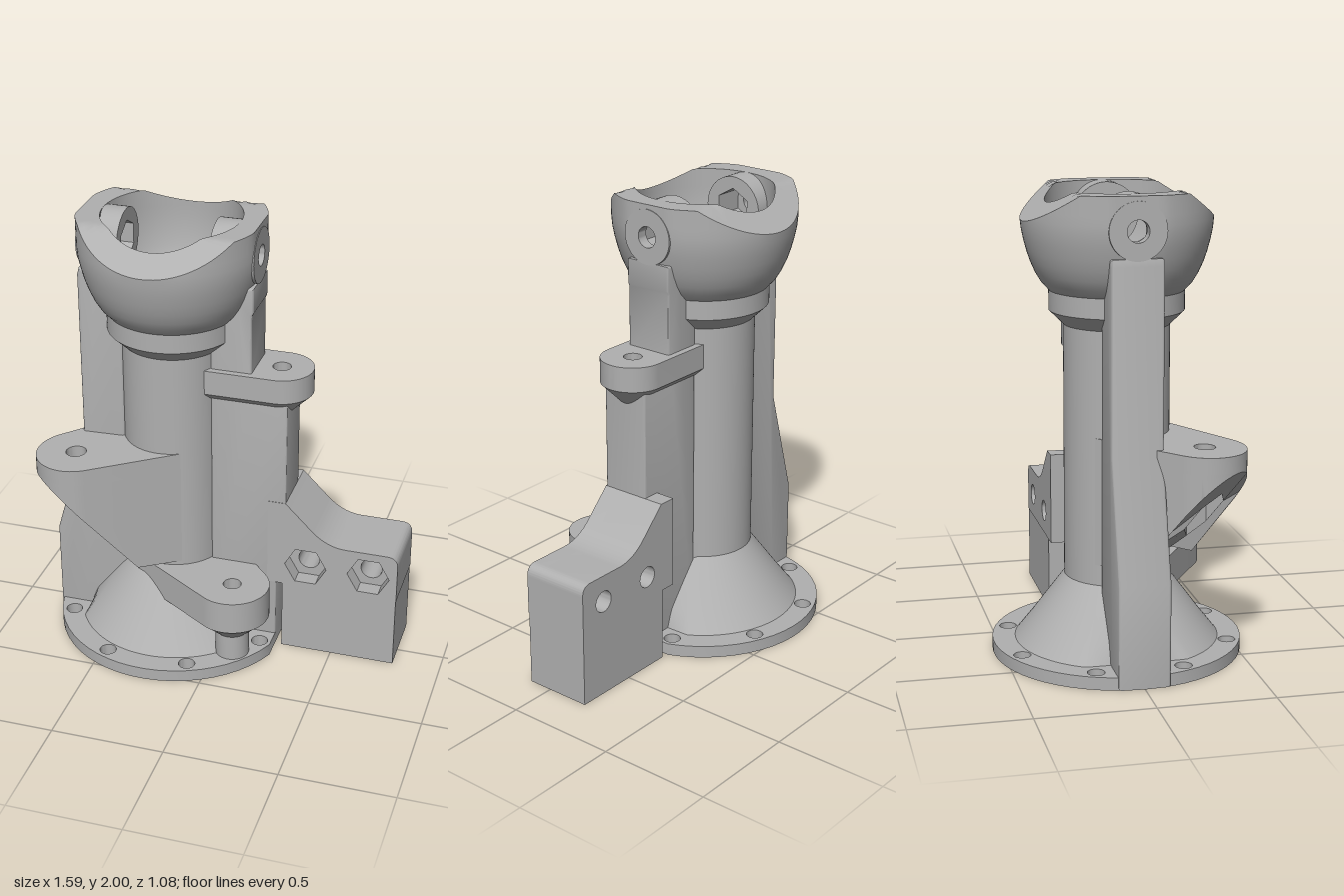
import * as THREE from 'three';
import { toCreasedNormals } from 'three/addons/utils/BufferGeometryUtils.js';

const AXIS = -0.26; // x of the column axis
const GIMBAL_Y = 1.86;

export function createModel() {
  const model = new THREE.Group();
  model.name = 'columnMount';
  const grey = new THREE.MeshStandardMaterial({ color: 0xb0b0b0 });
  grey.name = 'machined grey';

  const V = (x, y) => new THREE.Vector2(x, y);
  const shapeOf = (pts) => new THREE.Shape(pts.map(([x, y]) => V(x, y)));
  const circle = (x, y, r, n = 32, turn = 0) => {
    const pts = [];
    for (let i = 0; i < n; i++) {
      const a = turn + (i / n) * Math.PI * 2;
      pts.push(V(x + r * Math.cos(a), y + r * Math.sin(a)));
    }
    return new THREE.Shape(pts);
  };
  const hex = (x, y, r, turn = 0) => circle(x, y, r, 6, turn);

  function add(name, geometry, x = 0, y = 0, z = 0, parent = model) {
    const mesh = new THREE.Mesh(toCreasedNormals(geometry, 0.6), grey);
    mesh.name = name;
    mesh.position.set(x, y, z);
    parent.add(mesh);
    return mesh;
  }
  function extrude(shape, depth, holes = [], bevel = 0) {
    shape.holes.push(...holes);
    const g = new THREE.ExtrudeGeometry(shape, {
      depth: depth - 2 * bevel, curveSegments: 24, bevelEnabled: bevel > 0,
      bevelThickness: bevel, bevelSize: bevel, bevelOffset: -bevel, bevelSegments: 3,
    });
    return g.translate(0, 0, bevel);
  }
  // Extrusion standing upright: shape (x, y) becomes (x, -z)
  const upright = (shape, height, holes) => extrude(shape, height, holes).rotateX(-Math.PI / 2);
  function moveVertices(g, rule) {
    const p = g.attributes.position;
    const v = new THREE.Vector3();
    for (let i = 0; i < p.count; i++) {
      rule(v.fromBufferAttribute(p, i));
      p.setXYZ(i, v.x, v.y, v.z);
    }
    return g;
  }

  // Base flange with bolt circle, bore and one flat side
  const cut = Math.acos(0.5 / 0.54);
  const disc = new THREE.Shape();
  disc.absarc(0, 0, 0.54, cut, Math.PI * 2 - cut, false);
  const flangeHoles = [circle(0, 0, 0.2, 48), circle(0.35, -0.29, 0.04), circle(-0.3, 0, 0.075)];
  for (let i = 0; i < 8; i++) {
    const a = ((i + 0.5) * Math.PI) / 4;
    flangeHoles.push(circle(0.485 * Math.cos(a), 0.485 * Math.sin(a), 0.037, 24));
  }
  const flange = extrude(disc, 0.055, flangeHoles);
  add('baseFlange', flange.rotateX(-Math.PI / 2), AXIS);

  // Column, collar and bowl in one turned body, outside up and bore down
  const profile = [
    [0.445, 0.05], [0.37, 0.145], [0.3, 0.24], [0.225, 0.34], [0.225, 1.43], [0.286, 1.49], [0.286, 1.575],
    [0.318, 1.61], [0.342, 1.65], [0.362, 1.695], [0.377, 1.74], [0.39, 1.79], [0.399, 1.835], [0.403, 1.88],
    [0.403, 1.92], [0.403, 1.96], [0.403, 2.1], [0.38, 2.1], [0.34, 2.1], [0.3, 2.1],
    [0.3, 1.96], [0.3, 1.92], [0.3, 1.88], [0.297, 1.835], [0.292, 1.79], [0.282, 1.74], [0.27, 1.7],
    [0.245, 1.65], [0.2, 1.6], [0.17, 1.57], [0.17, 1.5], [0.115, 1.44], [0.115, 0.3], [0.2, 0.22], [0.2, 0],
  ];
  const body = new THREE.LatheGeometry(profile.map(([x, y]) => V(x, y)), 96);
  // Sloping cuts at the front and back of the rim, flats at the sides
  moveVertices(body, (v) => {
    v.y = Math.min(v.y, 2, 1.87 + (0.403 - Math.abs(v.z)) * 0.72);
    v.x = THREE.MathUtils.clamp(v.x, -0.387, 0.387);
  });
  // Openings in the bowl wall for the pivot bosses
  const pos = body.attributes.position;
  const kept = [];
  for (let i = 0; i < body.index.count; i += 3) {
    const t = [0, 1, 2].map((k) => body.index.getX(i + k));
    const y = (pos.getY(t[0]) + pos.getY(t[1]) + pos.getY(t[2])) / 3;
    const z = (pos.getZ(t[0]) + pos.getZ(t[1]) + pos.getZ(t[2])) / 3;
    if (Math.hypot(y - GIMBAL_Y, z) > 0.09) kept.push(...t);
  }
  body.setIndex(kept);
  add('columnAndBowl', body, AXIS);

  // Pivot bosses with hexagonal pockets
  for (const side of [1, -1]) {
    const turn = (side * Math.PI) / 2;
    const inner = extrude(circle(0, 0, 0.14, 48), 0.14, [hex(0, 0, 0.088, Math.PI / 6)]);
    add('pivotBoss', inner.translate(0, 0, 0.2).rotateY(turn), AXIS, GIMBAL_Y);
    const outer = extrude(circle(0, 0, 0.12, 48), 0.05, [circle(0, 0, 0.046)]);
    add('pivotFace', outer.translate(0, 0, 0.34).rotateY(turn), AXIS, GIMBAL_Y);
  }

  // Side fins
  const finTop = [[0.387, 1.75], [0.36, 1.75], [0.31, 1.7], [0.24, 1.57], [0.2, 1.45]];
  const rightFin = [[0.2, 0.045], [0.4, 0.045], [0.4, 0.002], [0.54, 0.002], [0.54, 0.44], [0.395, 0.94],
    [0.395, 1.72], ...finTop].map(([x, y]) => [-x, y]);
  const leftFin = [[0.2, 0.045], [0.5, 0.045], [0.5, 0.33], [0.54, 0.33], [0.54, 1.3], [0.38, 1.34],
    [0.38, 1.625], [0.387, 1.64], ...finTop];
  add('rightFin', extrude(shapeOf(rightFin), 0.22, [], 0.012), AXIS, 0, -0.11);
  add('leftFin', extrude(shapeOf(leftFin), 0.22, [], 0.008), AXIS, 0, -0.11);

  // Upper lug with a 45 degree underside
  const lugOutline = () => {
    const s = new THREE.Shape();
    s.moveTo(-0.08, -0.14);
    s.lineTo(0.225, -0.14);
    s.absarc(0.225, 0, 0.14, -Math.PI / 2, Math.PI / 2, false);
    s.lineTo(-0.08, 0.14);
    return s;
  };
  add('upperLug', upright(lugOutline(), 0.11, [circle(0.225, 0, 0.04)]), 0, 1.25);
  const taper = moveVertices(upright(lugOutline(), 0.1), (v) => {
    if (v.y > 0.05) return;
    v.z *= 0.286;
    if (v.x > 0.225) v.x = 0.225 + (v.x - 0.225) * 0.286;
  });
  add('upperLugTaper', taper, 0, 1.15);

  // Arm outline: rounded end at distance d, sides tangent to the column
  function armOutline(d, r) {
    const b = Math.acos((0.222 - r) / d);
    const c = Math.cos(b), s = Math.sin(b);
    const k = (0.26 - 0.222 * c) / (d + r * c - 0.222 * c);
    const bend = [0.26, 0.222 * s + k * (r - 0.222) * s];
    const pts = [];
    for (let i = 0; i <= 32; i++) {
      const a = -b + (2 * b * i) / 32;
      pts.push([d + r * Math.cos(a), r * Math.sin(a)]);
    }
    pts.push(bend, [0.222 * c, 0.222 * s]);
    for (let i = 0; i <= 16; i++) {
      const a = b - (2 * b * i) / 16;
      pts.push([0.195 * Math.cos(a), 0.195 * Math.sin(a)]);
    }
    pts.push([0.222 * c, -0.222 * s], [bend[0], -bend[1]]);
    return shapeOf(pts);
  }
  function armGroup(name, dx, dz) {
    const g = new THREE.Group();
    g.name = name;
    g.position.x = AXIS;
    g.rotation.y = Math.atan2(-dz, dx);
    model.add(g);
    return g;
  }

  // High arm with sloping underside and nut pocket
  const high = armGroup('highArm', -0.36, 0.29);
  const hd = Math.hypot(0.36, 0.29);
  const cap = moveVertices(upright(armOutline(hd, 0.175), 0.09, [circle(hd, 0, 0.045)]), (v) => {
    if (v.y > 0.05) v.y -= Math.max(0, v.x) * 0.035;
  });
  add('highArmTop', cap, 0, 0.89, 0, high);
  const wedge = moveVertices(upright(armOutline(hd, 0.175), 0.89, [hex(hd, 0, 0.088)]), (v) => {
    if (v.y < 0.4) v.y = Math.max(0.43, 0.43 + 1.2 * (v.x - 0.26));
  });
  add('highArmWedge', wedge, 0, 0, 0, high);

  // Low arm standing on a hollow peg
  const low = armGroup('lowArm', 0.35, 0.29);
  const ld = Math.hypot(0.35, 0.29);
  add('lowArmPlate', upright(armOutline(ld, 0.165), 0.15, [circle(ld, 0, 0.04)]), 0, 0.26, 0, low);
  const peg = [[0.04, 0.265], [0.04, 0.05], [0.075, 0.05], [0.075, 0.175], [0.165, 0.262]];
  add('lowArmPeg', new THREE.LatheGeometry(peg.map(([x, y]) => V(x, y)), 40), ld, 0, 0, low);

  // Side bracket: nut pockets in front, round holes behind
  const bracketOutline = () => {
    const s = new THREE.Shape();
    s.moveTo(0.2, 0.335);
    s.lineTo(0.79, 0.335);
    s.lineTo(0.79, 0.51);
    s.quadraticCurveTo(0.79, 0.56, 0.74, 0.56);
    s.lineTo(0.56, 0.56);
    s.quadraticCurveTo(0.47, 0.56, 0.4, 0.63);
    s.lineTo(0.28, 0.75);
    s.lineTo(0.2, 0.75);
    return s;
  };
  const boltX = [0.375, 0.66];
  add('bracketFront', extrude(bracketOutline(), 0.072, boltX.map((x) => hex(x, 0.44, 0.095))), 0, 0, 0.04);
  add('bracketBack', extrude(bracketOutline(), 0.24, boltX.map((x) => circle(x, 0.44, 0.048))), 0, 0, -0.2);

  // Lower bracket block with a slot open at the bottom
  const block = (x0, x1, z0, z1) => shapeOf([[x0, -z1], [x1, -z1], [x1, -z0], [x0, -z0]]);
  add('bracketBlock', upright(block(0.27, 0.788, -0.198, 0.11), 0.335, [block(0.36, 0.7, -0.12, 0.03)]));

  return model;
}
